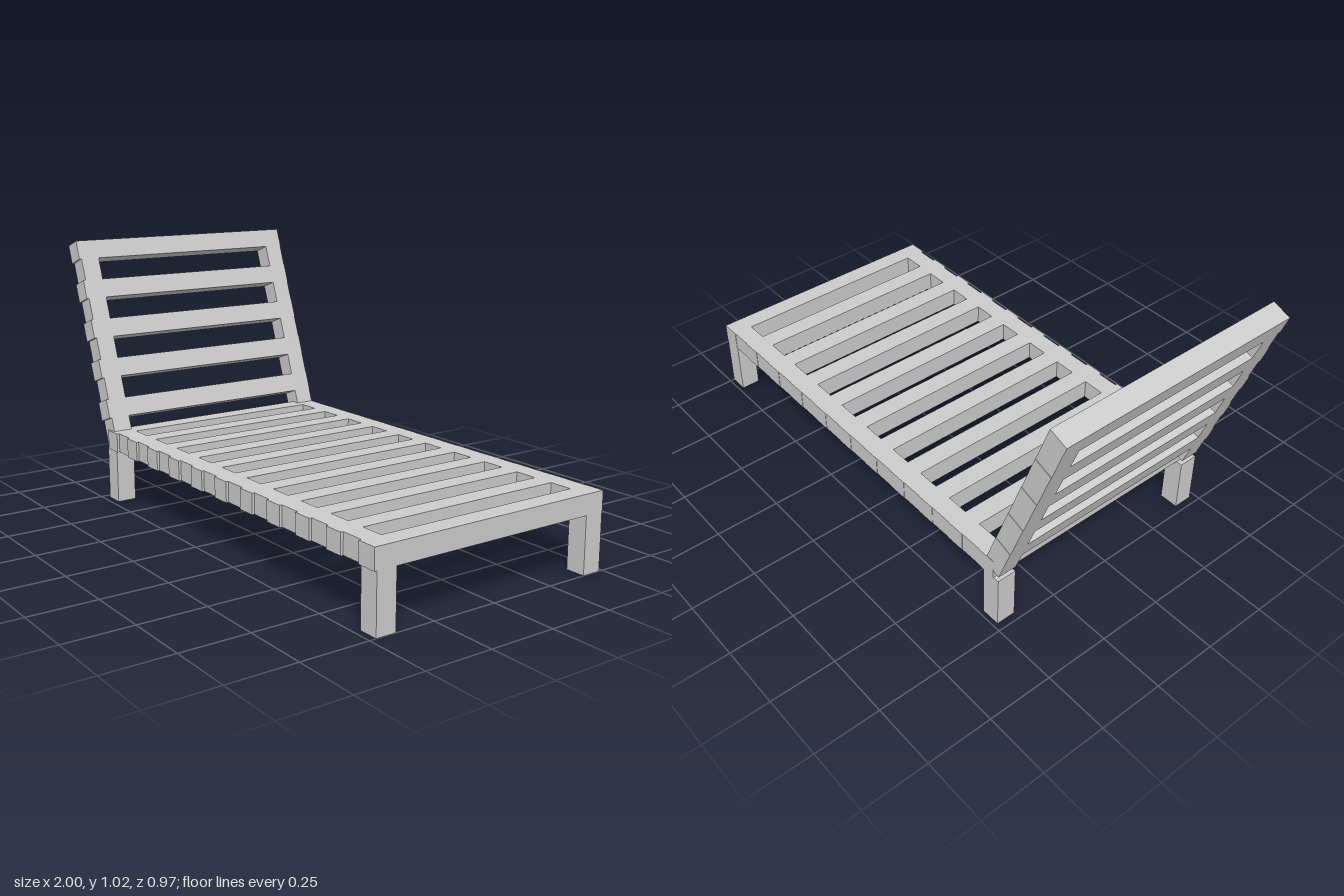
import * as THREE from 'three';

const T = 0.075;                  // timber thickness
const WIDTH = 0.97;               // slat length across the lounger
const RAIL_Z = [0.438, -0.446];   // centre lines of the two side rails
const PITCH = 0.1623;             // slat spacing

export function createModel() {
  const model = new THREE.Group();
  const material = new THREE.MeshStandardMaterial({ color: 0xcccccc, flatShading: true });

  const addBar = (parent, name, size, position) => {
    const bar = new THREE.Mesh(new THREE.BoxGeometry(...size), material);
    bar.name = name;
    bar.position.set(...position);
    parent.add(bar);
  };

  // Flat seat: two long rails crossed by eleven slats
  const seat = new THREE.Group();
  seat.name = 'seat';
  seat.position.y = 0.2475;
  for (const z of RAIL_Z) addBar(seat, 'seatRail', [1.698, T, T], [0.151, 0, z]);
  for (let i = 0; i < 11; i++) {
    addBar(seat, 'seatSlat', [T, T, WIDTH], [0.9625 - i * PITCH, 0, 0]);
  }
  model.add(seat);

  // Reclined back: origin at the top, rails running down, five slats
  const backrest = new THREE.Group();
  backrest.name = 'backrest';
  backrest.position.set(-0.965, 1.005, 0);
  backrest.rotation.z = THREE.MathUtils.degToRad(20);
  const backLength = 5 * PITCH;
  for (const z of RAIL_Z) addBar(backrest, 'backrestRail', [T, backLength, T], [0, -backLength / 2, z]);
  for (let i = 0; i < 5; i++) {
    addBar(backrest, 'backrestSlat', [T, T, WIDTH], [0, -T / 2 - i * PITCH, 0]);
  }
  model.add(backrest);

  // Four square legs
  for (const x of [-0.685, 0.9625]) {
    for (const z of RAIL_Z) addBar(model, 'leg', [T, 0.21, T], [x, 0.105, z]);
  }

  return model;
}
